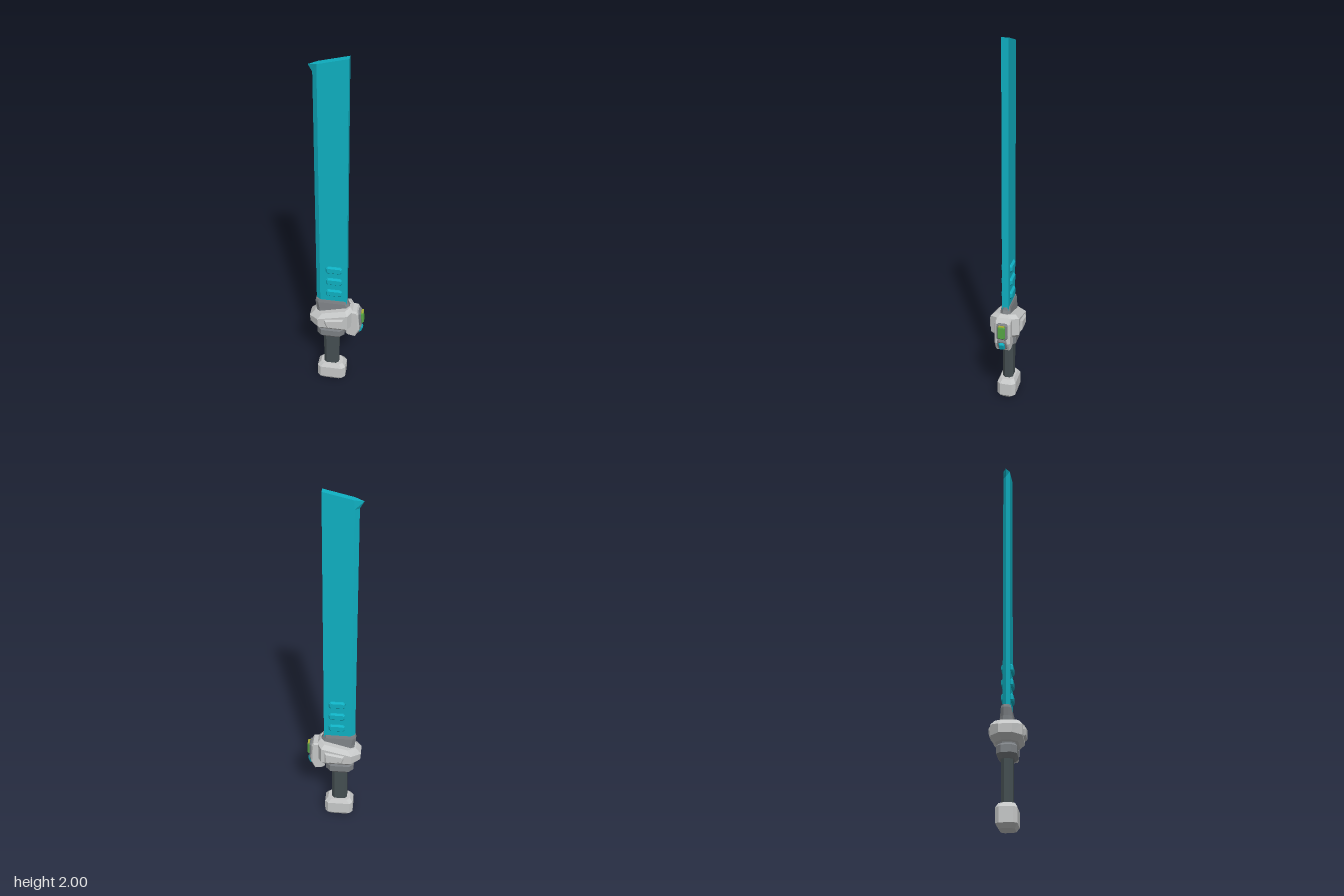
import * as THREE from 'three';

const mat = (name, color, flatShading = true) => {
  const m = new THREE.MeshStandardMaterial({ color, flatShading });
  m.name = name;
  return m;
};

// Eight-sided ring at height y; cl and cr are the left and right chamfers, slope tilts it along x
const ring = (x0, x1, z, y, cl, cr = cl, slope = 0, cz = Math.min(cl, z * 0.6)) => [
  [x0 + cl, z], [x1 - cr, z], [x1, z - cz], [x1, cz - z],
  [x1 - cr, -z], [x0 + cl, -z], [x0, cz - z], [x0, z - cz],
].map(([x, zz]) => [x, y + slope * x, zz]);

// Closed solid through a stack of rings, bottom to top
function loft(rings) {
  const n = rings[0].length, index = [], pos = rings.flat(2);
  for (let i = 0; i < rings.length - 1; i++) {
    for (let j = 0; j < n; j++) {
      const a = i * n + j, b = i * n + (j + 1) % n;
      index.push(a, b, b + n, a, b + n, a + n);
    }
  }
  const top = (rings.length - 1) * n;
  for (let j = 1; j < n - 1; j++) index.push(0, j + 1, j, top, top + j, top + j + 1);
  const g = new THREE.BufferGeometry();
  g.setAttribute('position', new THREE.Float32BufferAttribute(pos, 3));
  g.setIndex(index);
  const flat = g.toNonIndexed();
  flat.computeVertexNormals();
  return flat;
}

// Bevelled plate with an xy outline, reaching from -halfZ to +halfZ
function plate(points, halfZ, bevel) {
  const shape = new THREE.Shape(points.map(([x, y]) => new THREE.Vector2(x, y)));
  const depth = 2 * (halfZ - bevel);
  const g = new THREE.ExtrudeGeometry(shape, {
    depth, bevelEnabled: true, bevelThickness: bevel, bevelSize: bevel,
    bevelOffset: -bevel, bevelSegments: 1,
  });
  return g.translate(0, 0, -depth / 2);
}

export function createModel() {
  const model = new THREE.Group();
  model.name = 'sword';
  const cyan = mat('bladeCyan', 0x0fb0c2);
  const light = mat('lightGrey', 0xc6c8c8);
  const mid = mat('midGrey', 0x7c8084);
  const dark = mat('gripDark', 0x454f52);
  const green = mat('gemGreen', 0x55a545);
  const olive = mat('gemOlive', 0xa9ae35);

  const add = (name, geometry, material, parent = model) => {
    const m = new THREE.Mesh(geometry, material);
    m.name = name;
    parent.add(m);
    return m;
  };

  // Blade: flat back, ground edge on the -x side, hooked slanted tip
  const section = (edge, shoulder, yEdge, yShoulder, yBack) => [
    [edge, yEdge, 0], [shoulder, yShoulder, 0.018], [0.055, yBack, 0.018],
    [0.055, yBack, -0.018], [shoulder, yShoulder, -0.018],
  ];
  add('blade', loft([
    section(-0.115, -0.092, 0.56, 0.56, 0.56),
    section(-0.115, -0.092, 1.92, 1.92, 1.92),
    section(-0.135, -0.092, 1.955, 1.965, 2.0),
  ]), cyan);

  // Raised studs through both blade faces
  for (const y of [0.643, 0.722, 0.8]) {
    const x0 = -0.06, x1 = 0.028, h = 0.022, c = 0.01;
    add('bladeStud', plate([
      [x0 + c, y - h], [x1 - c, y - h], [x1, y - h + c], [x1, y + h - c],
      [x1 - c, y + h], [x0 + c, y + h], [x0, y + h - c], [x0, y - h + c],
    ], 0.03, 0.008), cyan);
  }

  // Collar between blade and guard
  add('collar', loft([
    ring(-0.11, 0.085, 0.04, 0.45, 0.02),
    ring(-0.115, 0.082, 0.03, 0.53, 0.02),
    ring(-0.121, 0.062, 0.026, 0.57, 0.018),
    ring(-0.117, 0.058, 0.022, 0.586, 0.016),
  ]), mid);

  // Guard body with a sloping top
  add('guard', loft([
    ring(-0.115, 0.07, 0.055, 0.408, 0.035, 0.02),
    ring(-0.147, 0.09, 0.077, 0.435, 0.05, 0.025, 0, 0.045),
    ring(-0.15, 0.09, 0.078, 0.515, 0.05, 0.025, 0.25, 0.045),
    ring(-0.122, 0.075, 0.056, 0.536, 0.045, 0.025, 0.25, 0.035),
  ]), light);
  add('guardSidePanel', plate([
    [-0.05, 0.445], [0.046, 0.445], [0.046, 0.512], [-0.06, 0.493], [-0.06, 0.475],
  ], 0.09, 0.008), light);

  // Stepped collar under the guard
  add('lowerCollar', loft([
    ring(-0.085, 0.02, 0.036, 0.33, 0.02),
    ring(-0.11, 0.043, 0.05, 0.35, 0.025),
    ring(-0.11, 0.043, 0.05, 0.387, 0.025),
    ring(-0.085, 0.03, 0.042, 0.402, 0.02),
    ring(-0.085, 0.03, 0.042, 0.42, 0.02),
  ]), mid);

  // Grip and pommel
  add('grip', loft([0.1, 0.345].map((y) => ring(-0.075, 0.011, 0.028, y, 0.015))), dark);
  add('pommel', loft([
    ring(-0.09, 0.03, 0.037, 0, 0.018),
    ring(-0.11, 0.05, 0.051, 0.022, 0.018),
    ring(-0.11, 0.05, 0.051, 0.095, 0.018),
    ring(-0.092, 0.032, 0.039, 0.117, 0.018),
  ]), light);

  // Gem housing on the +x side
  add('gemHousing', plate([
    [0.05, 0.375], [0.062, 0.363], [0.105, 0.355], [0.128, 0.405],
    [0.124, 0.47], [0.122, 0.52], [0.112, 0.537], [0.08, 0.54], [0.05, 0.45],
  ], 0.043, 0.008), light);

  // A gem with its frame, facing +x and pitched by tilt
  function gem(name, material, x, y, tilt, h, w) {
    const group = new THREE.Group();
    group.name = name;
    group.position.set(x, y, 0);
    group.rotation.z = tilt - Math.PI / 2;
    add('gemFrame', loft([
      ring(-h, h, w, -0.02, 0.008),
      ring(-h, h, w, 0.006, 0.008),
      ring(-h + 0.005, h - 0.005, w - 0.005, 0.012, 0.007),
    ]), mid, group);
    add('gemStone', loft([
      ring(-h + 0.01, h - 0.01, w - 0.01, 0, 0.005),
      ring(-h + 0.01, h - 0.01, w - 0.01, 0.016, 0.005),
      ring(-h + 0.016, h - 0.016, w - 0.015, 0.024, 0.004),
    ]), material, group);
    model.add(group);
  }
  gem('upperGem', green, 0.124, 0.478, 0.04, 0.047, 0.03);
  gem('lowerGem', cyan, 0.117, 0.397, -0.35, 0.033, 0.026);

  // Bright upper facet of the green gem
  add('gemTopFacet', new THREE.BoxGeometry(0.016, 0.004, 0.032), olive).position.set(0.138, 0.516, 0);

  return model;
}
